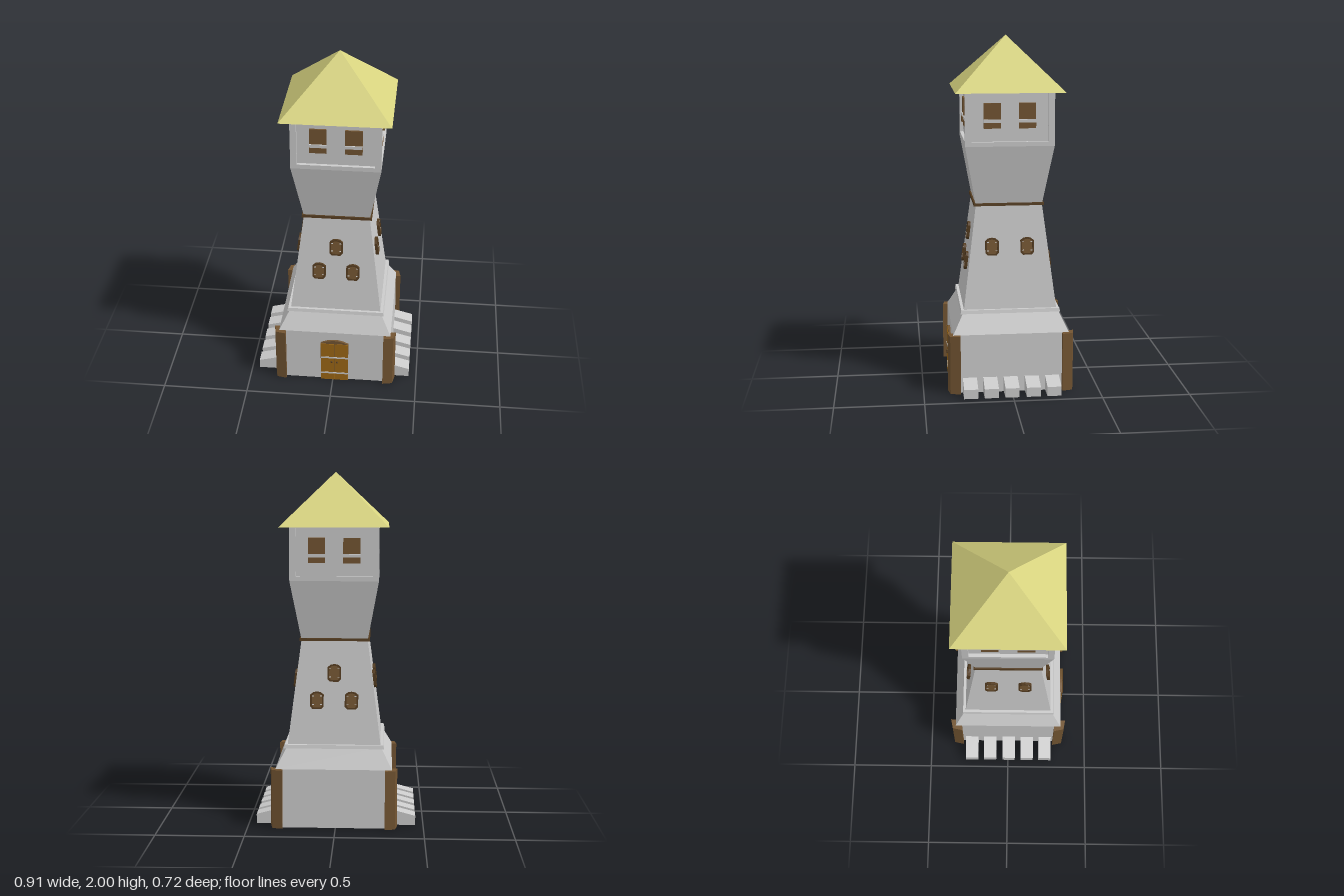
import * as THREE from 'three';

const mat = (color) => new THREE.MeshStandardMaterial({ color, flatShading: true });
const stone = mat(0xcccccc), wood = mat(0x735532), darkWood = mat(0x543c20);
const doorWood = mat(0x9d6816), roofMat = mat(0xd8d480);

function add(parent, name, geo, material, x = 0, y = 0, z = 0) {
  const m = new THREE.Mesh(geo, material);
  m.name = name;
  m.position.set(x, y, z);
  parent.add(m);
  return m;
}

function box(parent, name, material, w, h, d, x, y, z) {
  return add(parent, name, new THREE.BoxGeometry(w, h, d), material, x, y, z);
}

// Square tapered block given by half widths at bottom and top
function frustum(parent, name, material, half0, half1, y0, y1) {
  const geo = new THREE.CylinderGeometry(half1 * Math.SQRT2, half0 * Math.SQRT2, y1 - y0, 4);
  geo.rotateY(Math.PI / 4);
  return add(parent, name, geo, material, 0, (y0 + y1) / 2, 0);
}

const shapeOf = (pts) => new THREE.Shape(pts.map(([x, y]) => new THREE.Vector2(x, y)));
const extrude = (shape, depth) =>
  new THREE.ExtrudeGeometry(shape, { depth, bevelEnabled: false, curveSegments: 8 });

// Outline with cut corners and a slightly raised top, for the small windows
const windowOutline = (w, h) => [
  [-w * 0.65, -h], [w * 0.65, -h], [w, -h * 0.7], [w, h * 0.65],
  [w * 0.55, h * 0.92], [0, h], [-w * 0.55, h * 0.92], [-w, h * 0.65], [-w, -h * 0.7],
];

// Small shuttered window leaning with the tapered wall
function smallWindow(side, x, y) {
  const g = new THREE.Group();
  g.name = 'smallWindow';
  const wall = 0.264 - (y - 0.47) * 0.129;
  g.position.set(x, y, wall);
  g.rotation.x = -0.128;
  const rim = shapeOf(windowOutline(0.038, 0.05));
  rim.holes.push(shapeOf(windowOutline(0.029, 0.041)));
  add(g, 'windowFrame', extrude(rim, 0.024), darkWood, 0, 0, -0.008);
  add(g, 'windowPanel', extrude(shapeOf(windowOutline(0.03, 0.042)), 0.018), wood, 0, 0, -0.008);
  for (const sx of [-1, 1]) for (const sy of [-1, 1])
    box(g, 'windowHinge', stone, 0.012, 0.004, 0.004, sx * 0.024, sy * 0.024, 0.011);
  side.add(g);
}

// Recessed stone frame and two shuttered windows of the lookout room
function lookoutSide(side) {
  const s = shapeOf([[-0.25, 1.4], [0.25, 1.4], [0.25, 1.705], [-0.25, 1.705]]);
  s.holes.push(shapeOf([[-0.215, 1.425], [0.215, 1.425], [0.215, 1.695], [-0.215, 1.695]]));
  add(side, 'lookoutFrame', extrude(s, 0.02), stone, 0, 0, 0.23);
  for (const x of [-0.098, 0.098]) {
    box(side, 'lookoutWindow', wood, 0.095, 0.14, 0.02, x, 1.57, 0.23);
    box(side, 'lookoutSill', stone, 0.095, 0.018, 0.024, x, 1.541, 0.235);
    box(side, 'lookoutLedge', wood, 0.095, 0.032, 0.026, x, 1.516, 0.235);
  }
}

// Arched double door with iron bands and knobs
function door(parent) {
  const g = new THREE.Group();
  g.name = 'door';
  const s = new THREE.Shape();
  s.moveTo(-0.082, 0);
  s.lineTo(0.082, 0);
  s.lineTo(0.082, 0.268);
  s.quadraticCurveTo(0, 0.314, -0.082, 0.268);
  add(g, 'doorArch', extrude(s, 0.03), wood, 0, 0, 0.314);
  for (const sx of [-1, 1]) {
    box(g, 'doorLeaf', doorWood, 0.08, 0.268, 0.02, sx * 0.041, 0.134, 0.337);
    add(g, 'doorKnob', new THREE.SphereGeometry(0.006, 8, 6), darkWood, sx * 0.016, 0.135, 0.349);
  }
  for (const y of [0.052, 0.168])
    box(g, 'doorBand', stone, 0.162, 0.01, 0.004, 0, y, 0.347);
  parent.add(g);
}

export function createModel() {
  const model = new THREE.Group();
  model.name = 'watchtower';
  const tower = new THREE.Group();
  tower.name = 'tower';
  tower.position.x = 0.01;
  model.add(tower);

  // Stone body from the ground up
  frustum(tower, 'base', stone, 0.334, 0.33, 0, 0.34);
  frustum(tower, 'baseSlope', stone, 0.33, 0.268, 0.34, 0.455);
  frustum(tower, 'lowerRing', stone, 0.285, 0.28, 0.45, 0.47);
  frustum(tower, 'shaft', stone, 0.264, 0.188, 0.47, 1.06);
  frustum(tower, 'upperRing', darkWood, 0.2, 0.198, 1.055, 1.07);
  frustum(tower, 'flare', stone, 0.188, 0.25, 1.06, 1.4);
  box(tower, 'lookoutRoom', stone, 0.46, 0.305, 0.46, 0, 1.5525, 0);

  // Pyramid roof
  frustum(tower, 'roof', roofMat, 0.305, 0.001, 1.7, 2);

  // Walls: three windows front and back, two on the sides
  for (let i = 0; i < 4; i++) {
    const side = new THREE.Group();
    side.name = 'wallDetails';
    side.rotation.y = i * Math.PI / 2;
    lookoutSide(side);
    const spots = i % 2 ? [[-0.1, 0.825], [0.1, 0.825]] : [[0, 0.875], [-0.098, 0.72], [0.098, 0.72]];
    for (const [x, y] of spots) smallWindow(side, x, y);

    // Angled corner post
    const post = extrude(shapeOf([[0.29, 0.29], [0.36, 0.29], [0.348, 0.348], [0.29, 0.36]]), 0.34);
    post.rotateX(Math.PI / 2);
    add(side, 'cornerPost', post, wood, 0, 0.34, 0);
    tower.add(side);
  }

  door(tower);

  // Sloped footing stones along both sides
  const footing = extrude(shapeOf([[0.3, 0.004], [0.455, 0.004], [0.455, 0.058], [0.3, 0.1]]), 0.08);
  footing.translate(0, 0, -0.04);
  for (const turn of [0, Math.PI])
    for (const z of [-0.233, -0.116, 0.005, 0.122, 0.238])
      add(model, 'footingStone', footing, stone, 0, 0, z).rotation.y = turn;

  return model;
}
